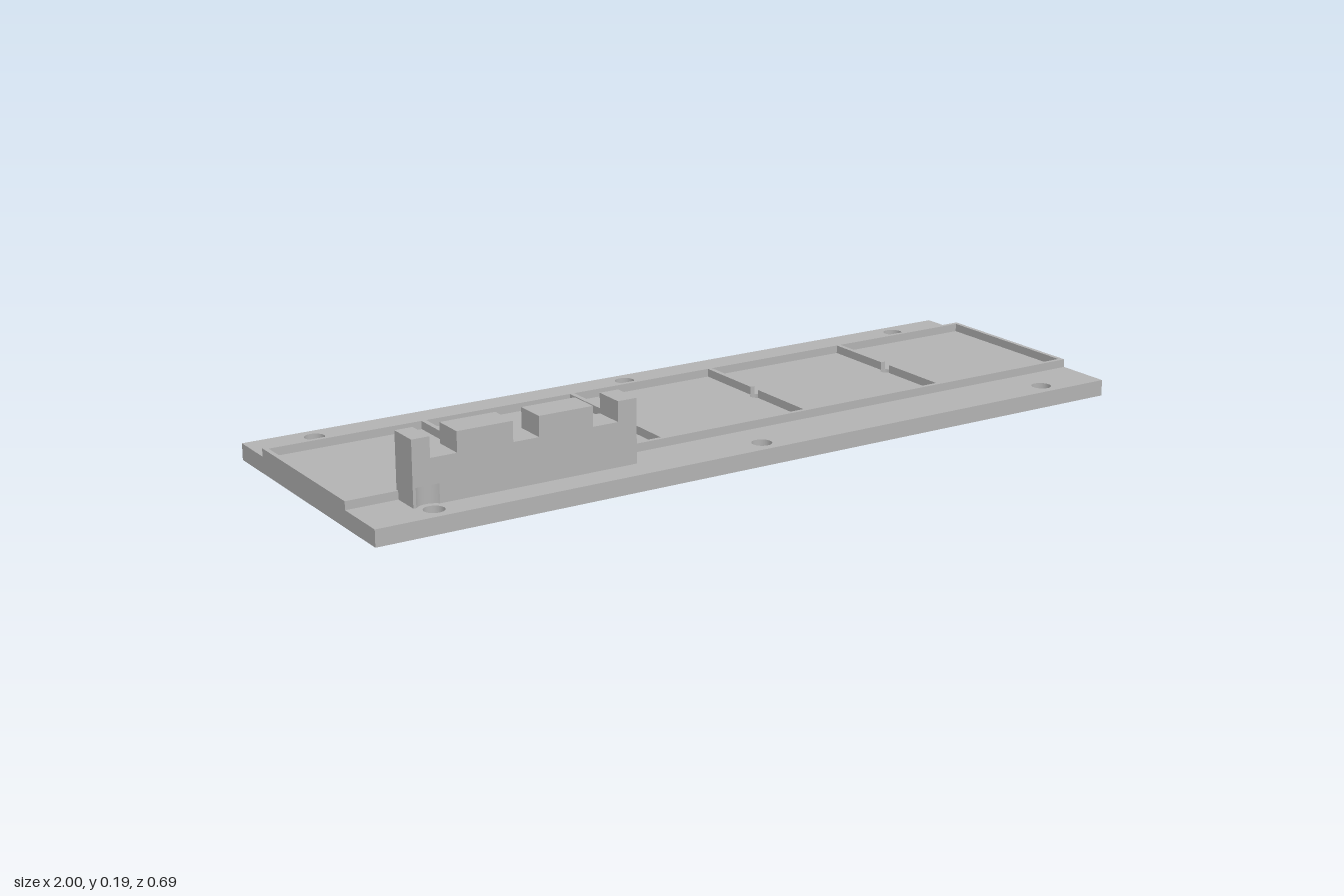
import * as THREE from 'three';

export function createModel() {
  const model = new THREE.Group();
  const grey = new THREE.MeshStandardMaterial({ color: 0xb2b2b2 });
  grey.name = 'grey';

  const add = (name, geometry) => {
    const mesh = new THREE.Mesh(geometry, grey);
    mesh.name = name;
    model.add(mesh);
    return mesh;
  };
  // Rectangle in plan; shape y is -z
  const rect = (Kind, x0, x1, z0, z1) => {
    const p = new Kind();
    p.moveTo(x0, -z1);
    p.lineTo(x1, -z1);
    p.lineTo(x1, -z0);
    p.lineTo(x0, -z0);
    p.closePath();
    return p;
  };
  const circle = (x, z, r) => new THREE.Path().absarc(x, -z, r, 0, Math.PI * 2, true);
  // Extrude a plan upwards from y0 to y1
  const raise = (shape, y0, y1) =>
    new THREE.ExtrudeGeometry(shape, { depth: y1 - y0, bevelEnabled: false, curveSegments: 24 })
      .rotateX(-Math.PI / 2).translate(0, y0, 0);

  const baseTop = 0.04, rimTop = 0.06;
  const zBack = -0.228, zFront = 0.203, wall = 0.011;
  const zMid = (zBack + zFront) / 2;
  const drainX = [-0.6, -0.2, 0.2, 0.6], drainR = 0.016;

  // Base plate with six screw holes and four small drain holes
  const base = rect(THREE.Shape, -1, 1, -0.345, 0.345);
  for (const x of [-0.84, 0, 0.84]) {
    for (const z of [-0.3, 0.3]) base.holes.push(circle(x, z, 0.024));
  }
  for (const x of drainX) base.holes.push(circle(x, zMid, drainR));
  add('basePlate', raise(base, 0, baseTop));

  // Raised rim round the row of trays
  const rim = rect(THREE.Shape, -1, 1, zBack, zFront);
  rim.holes.push(rect(THREE.Path, -1 + wall, 1 - wall, zBack + wall, zFront - wall));
  add('trayRim', raise(rim, baseTop, rimTop));

  // Dividers, each interrupted by a drain hole
  for (const x of drainX) {
    add('dividerBack', raise(rect(THREE.Shape, x - 0.006, x + 0.006, zBack + wall, zMid - drainR), baseTop, rimTop));
    add('dividerFront', raise(rect(THREE.Shape, x - 0.006, x + 0.006, zMid + drainR, zFront - wall), baseTop, rimTop));
  }

  // Holder block: lower part with a round relief beside the screw hole
  const left = -0.875, right = -0.32, back = 0.195, front = 0.273;
  const reliefTop = 0.085, top = 0.193;
  const a = Math.atan2(0.027, 0.028), r = Math.hypot(0.027, 0.028);
  const foot = new THREE.Shape();
  foot.moveTo(left, -front);
  foot.lineTo(-0.868, -front);
  foot.absarc(-0.84, -0.3, r, Math.PI - a, a, true);
  foot.lineTo(right, -front);
  foot.lineTo(right, -back);
  foot.lineTo(left, -back);
  foot.closePath();
  add('holderFoot', raise(foot, baseTop, reliefTop));

  // Holder block: upper part with three notches
  const upper = new THREE.Shape();
  upper.moveTo(left, reliefTop);
  upper.lineTo(right, reliefTop);
  upper.lineTo(right, top);
  for (const x of [-0.4, -0.6, -0.8]) {
    upper.lineTo(x + 0.032, top);
    upper.lineTo(x + 0.032, 0.145);
    upper.lineTo(x - 0.032, 0.145);
    upper.lineTo(x - 0.032, top);
  }
  upper.lineTo(left, top);
  upper.closePath();
  add('notchedHolder', new THREE.ExtrudeGeometry(upper, { depth: front - back, bevelEnabled: false })
    .translate(0, 0, back));

  return model;
}
